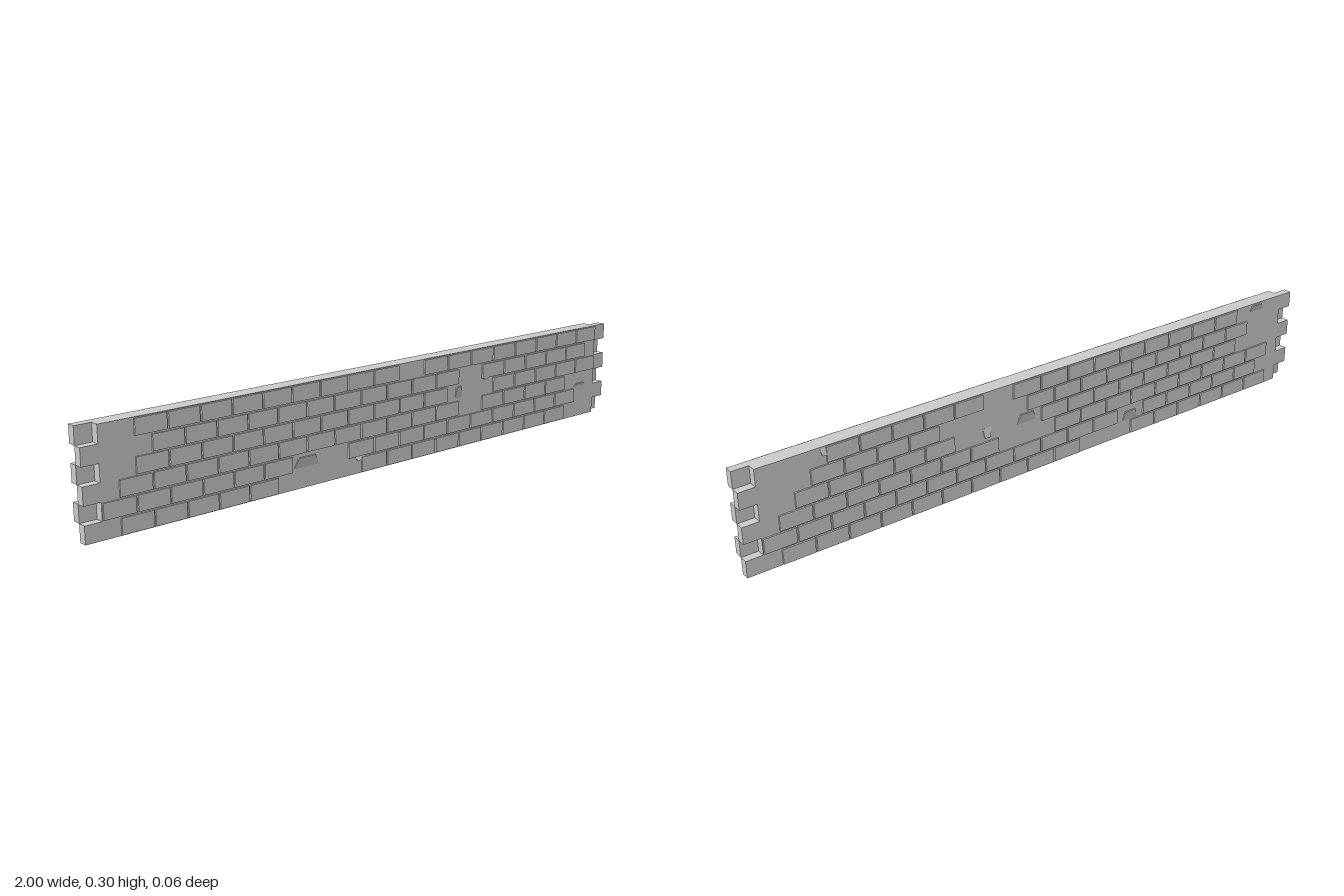
import * as THREE from 'three';

const ROWS = 6, H = 0.05, BRICK = 0.1, JOINT = 0.005, CORE = 0.025, RAISE = 0.005;
const material = new THREE.MeshStandardMaterial({ color: 0xcccccc, flatShading: true });

// Stretches of each course (bottom to top) where the facing bricks have fallen off
const FRONT_GAPS = [
  [[-1, -0.88], [-0.36, -0.1], [0.82, 1]],
  [[-1, -0.92], [-0.36, -0.14], [0.82, 1]],
  [[-1, -0.88], [0.27, 0.4], [0.8, 1]],
  [[-1, -0.85], [0.24, 0.46], [0.9, 1]],
  [[-1, -0.8], [0.27, 0.42], [0.92, 1]],
  [[-1, -0.8], [0.05, 0.16], [0.92, 1]],
];
const BACK_GAPS = [
  [[-1, -0.92], [0.14, 0.3], [0.9, 1]],
  [[-1, -0.92], [0.2, 0.35], [0.85, 1]],
  [[-1, -0.9], [-0.2, -0.05], [0.85, 1]],
  [[-1, -0.8], [-0.38, -0.02], [0.78, 1]],
  [[-1, -0.75], [-0.4, -0.1], [0.75, 1]],
  [[-1, -0.72], [-0.3, -0.2], [0.75, 1]],
];

// Broken brick remains: x, y, width, height, downward slope (1) or upward slope (-1)
const FRONT_CHIPS = [
  [-0.3, 0.075, 0.09, 0.03, 1], [-0.21, 0.112, 0.08, 0.02, 1], [0.3, 0.175, 0.03, 0.035, 1],
  [0.42, 0.2, 0.02, 0.01, 1], [0.88, 0.108, 0.06, 0.01, 1], [0.8, 0.065, 0.02, 0.02, 1],
  [-0.79, 0.242, 0.02, 0.012, -1], [-0.1, 0.045, 0.04, 0.01, -1],
];
const BACK_CHIPS = [
  [-0.24, 0.175, 0.03, 0.03, -1], [-0.1, 0.18, 0.07, 0.03, 1], [0.3, 0.065, 0.06, 0.03, 1],
  [0.84, 0.285, 0.06, 0.02, 1], [0.78, 0.23, 0.02, 0.03, 1], [-0.75, 0.285, 0.03, 0.02, -1],
];

function addBox(parent, name, x0, x1, y0, y1, z0, z1) {
  const mesh = new THREE.Mesh(new THREE.BoxGeometry(x1 - x0, y1 - y0, z1 - z0), material);
  mesh.name = name;
  mesh.position.set((x0 + x1) / 2, (y0 + y1) / 2, (z0 + z1) / 2);
  parent.add(mesh);
}

// A box whose outer face slopes back to the wall along one long edge
function addChip(parent, [x, y, w, h, slope]) {
  const geometry = new THREE.BoxGeometry(w, h, RAISE);
  const p = geometry.attributes.position;
  for (let i = 0; i < p.count; i++) {
    if (p.getZ(i) > 0 && p.getY(i) * slope < 0) p.setZ(i, -RAISE * 0.45);
    if (p.getY(i) * slope > 0) p.setX(i, p.getX(i) * 0.65);
  }
  geometry.computeVertexNormals();
  const mesh = new THREE.Mesh(geometry, material);
  mesh.name = 'brokenBrick';
  mesh.position.set(x, y, CORE + RAISE / 2);
  parent.add(mesh);
}

// One half of the wall thickness: staggered core courses with raised bricks
function wallSide(name, gaps, chips) {
  const side = new THREE.Group();
  side.name = name;
  for (let r = 0; r < ROWS; r++) {
    const start = r % 2 ? -0.95 : -1, end = start + 1.95, y = r * H;
    addBox(side, 'coreCourse', start, end, y, y + H, 0, CORE);
    for (let x = start; x < end - 0.01; x += BRICK) {
      const right = Math.min(x + BRICK, end), mid = (x + right) / 2;
      if (gaps[r].some(([a, b]) => mid > a && mid < b)) continue;
      addBox(side, 'brick', x + JOINT / 2, right - JOINT / 2,
        y + JOINT / 2, y + H - JOINT / 2, CORE, CORE + RAISE);
    }
  }
  chips.forEach((chip) => addChip(side, chip));
  return side;
}

export function createModel() {
  const wall = new THREE.Group();
  wall.name = 'brickWall';
  const front = wallSide('frontSide', FRONT_GAPS, FRONT_CHIPS);
  // The back is turned half a circle, so the end notches interlock
  const back = wallSide('backSide', BACK_GAPS, BACK_CHIPS);
  back.rotation.y = Math.PI;
  wall.add(front, back);
  return wall;
}
